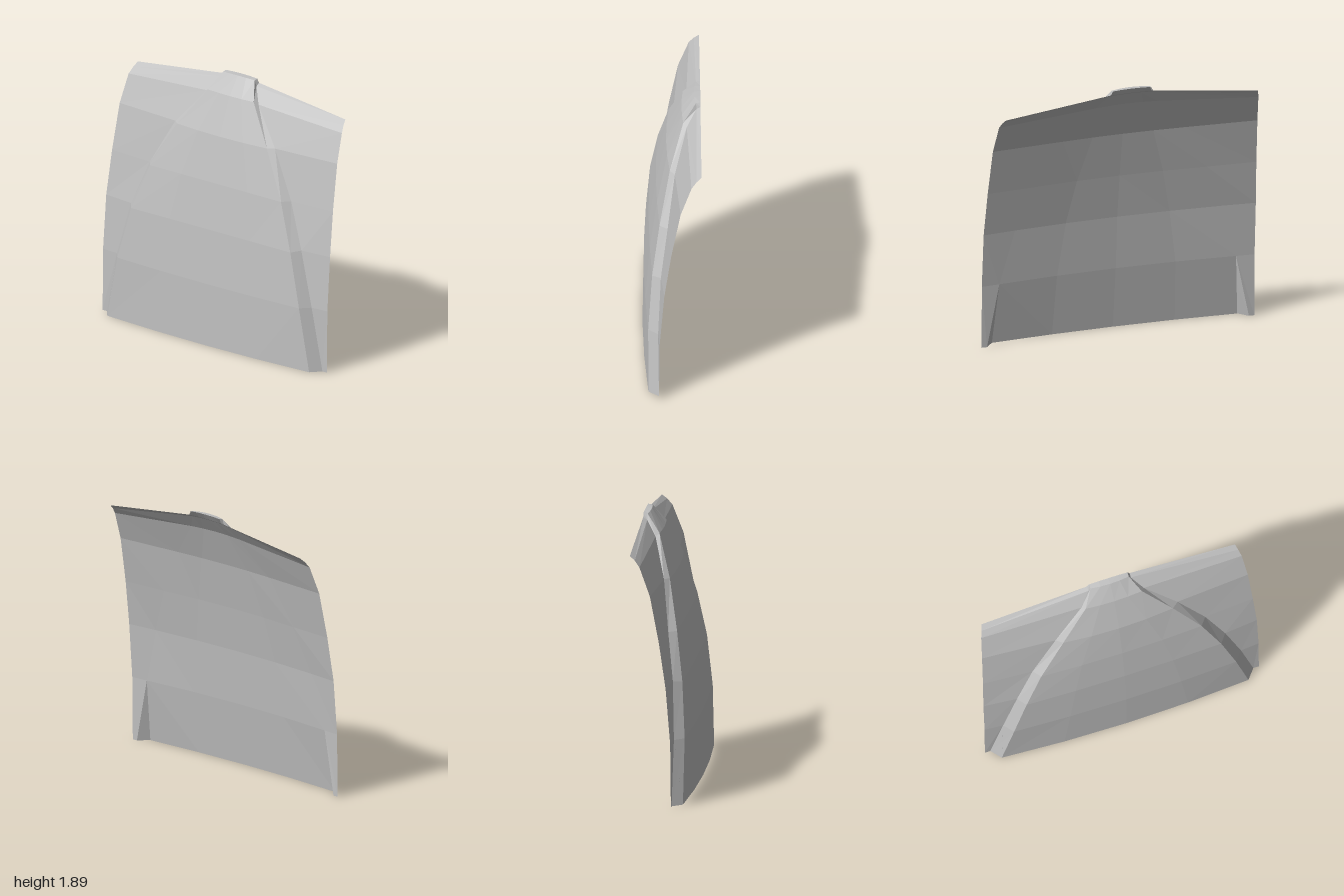
import * as THREE from 'three';

// Contour lines running from the bottom edge to the top edge: [x, y, z] per row
const crown = [[0, 0, 0.2], [0, 0.45, 0.19], [0, 0.84, 0.157], [0, 1.17, 0.107], [0, 1.49, 0.037],
  [0, 1.76, -0.07], [0, 1.887, -0.157], [0, 1.89, -0.2]];
const creaseTop = [[0.9, 0, 0.167], [0.81, 0.45, 0.168], [0.71, 0.83, 0.14], [0.585, 1.16, 0.088], [0.4, 1.49, 0.015],
  [0.205, 1.76, -0.08], [0.14, 1.88, -0.17], [0.14, 1.885, -0.2]];
const creaseFoot = [[0.96, 0, 0.095], [0.868, 0.45, 0.1], [0.76, 0.84, 0.08], [0.63, 1.16, 0.032], [0.445, 1.49, -0.02],
  [0.228, 1.74, -0.105], [0.155, 1.84, -0.172], [0.155, 1.857, -0.2]];
const sideEdge = [[1, 0, 0.095], [1, 0.45, 0.09], [0.998, 0.84, 0.058], [0.985, 1.16, 0.01], [0.97, 1.49, -0.055],
  [0.951, 1.69, -0.13], [0.937, 1.735, -0.165], [0.925, 1.765, -0.2]];
const linerCentre = [[0, 0, 0.2], [0, 0.45, 0.142], [0, 0.84, 0.11], [0, 1.16, 0.06], [0, 1.49, -0.005],
  [0, 1.745, -0.098], [0, 1.845, -0.17], [0, 1.86, -0.2]];

const mirror = (line) => line.map(([x, y, z]) => [-x, y, z]);

// Line part of the way between two contours, bulged along a parabola
const between = (a, b, t) => a.map((p, i) => [
  p[0] + (b[i][0] - p[0]) * t,
  p[1] + (b[i][1] - p[1]) * t * t,
  p[2] + (b[i][2] - p[2]) * t * t,
]);

// Skin a surface over contour lines ordered from -x to +x
function loft(lines) {
  const rows = lines[0].length;
  const index = [];
  for (let c = 0; c < lines.length - 1; c++) {
    for (let r = 0; r < rows - 1; r++) {
      const a = c * rows + r, b = a + rows;
      index.push(a, b, b + 1, a, b + 1, a + 1);
    }
  }
  const indexed = new THREE.BufferGeometry();
  indexed.setAttribute('position', new THREE.Float32BufferAttribute(lines.flat(2), 3));
  indexed.setIndex(index);
  const geometry = indexed.toNonIndexed();
  geometry.computeVertexNormals();
  return geometry;
}

export function createModel() {
  const model = new THREE.Group();
  model.name = 'bonnetPanel';
  const silver = new THREE.MeshStandardMaterial({ color: 0xc0c0c0, flatShading: true, side: THREE.DoubleSide });
  silver.name = 'silver';

  const add = (name, lines) => {
    const mesh = new THREE.Mesh(loft(lines), silver);
    mesh.name = name;
    model.add(mesh);
  };
  const symmetric = (centre, half) => [...half.map(mirror).reverse(), centre, ...half];

  // Raised centre panel, tapering towards the top
  add('raisedPanel', symmetric(crown, [between(crown, creaseTop, 0.5), creaseTop]));

  // Sloping step and lower wing on each side
  for (const side of ['left', 'right']) {
    const place = (lines) => (side === 'left' ? lines : lines.map(mirror).reverse());
    add(side + 'Step', place([creaseTop, creaseFoot]));
    add(side + 'Wing', place([creaseFoot, sideEdge]));
  }

  // Inner skin behind the raised panel, meeting it along the bottom edge
  const linerEdge = [creaseTop[0], ...creaseFoot.slice(1)];
  add('innerSkin', symmetric(linerCentre, [between(linerCentre, linerEdge, 0.5), linerEdge]));

  return model;
}
